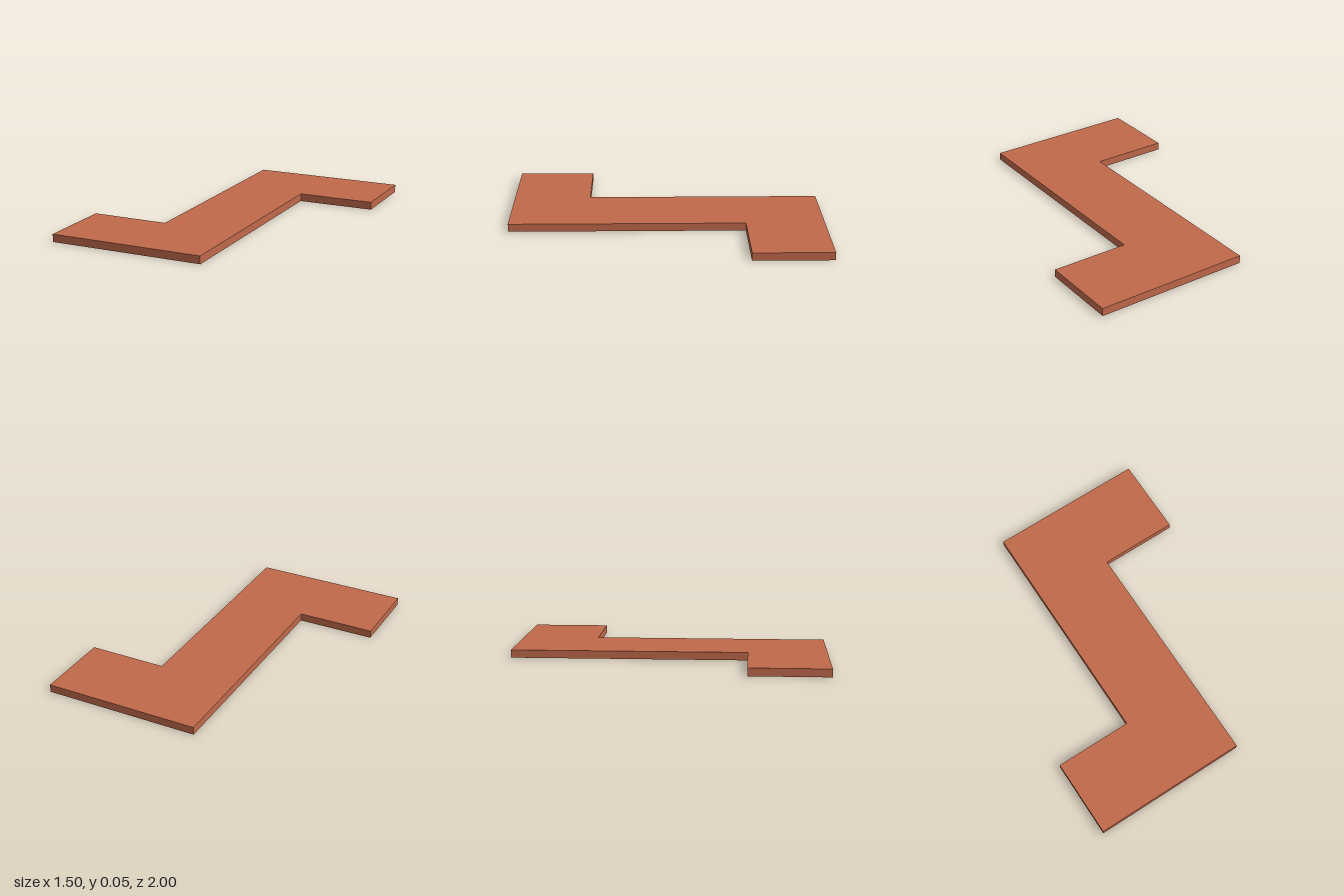
import * as THREE from 'three';

export function createModel() {
  const group = new THREE.Group();
  group.name = 'zigzagPlate';

  // Half of the outline; the other half is the same turned by 180 degrees
  const half = [[-0.25, 1], [0.75, 1], [0.75, 0.5], [0.25, 0.5]];
  const outline = [...half, ...half.map(([x, y]) => [-x, -y])];
  const shape = new THREE.Shape(outline.map(([x, y]) => new THREE.Vector2(x, y)));

  // Flat plate, laid down on the ground
  const geometry = new THREE.ExtrudeGeometry(shape, { depth: 0.05, bevelEnabled: false });
  geometry.rotateX(-Math.PI / 2);

  const plate = new THREE.Mesh(geometry, new THREE.MeshStandardMaterial({ color: 0xc0694b }));
  plate.name = 'plate';
  group.add(plate);
  return group;
}
